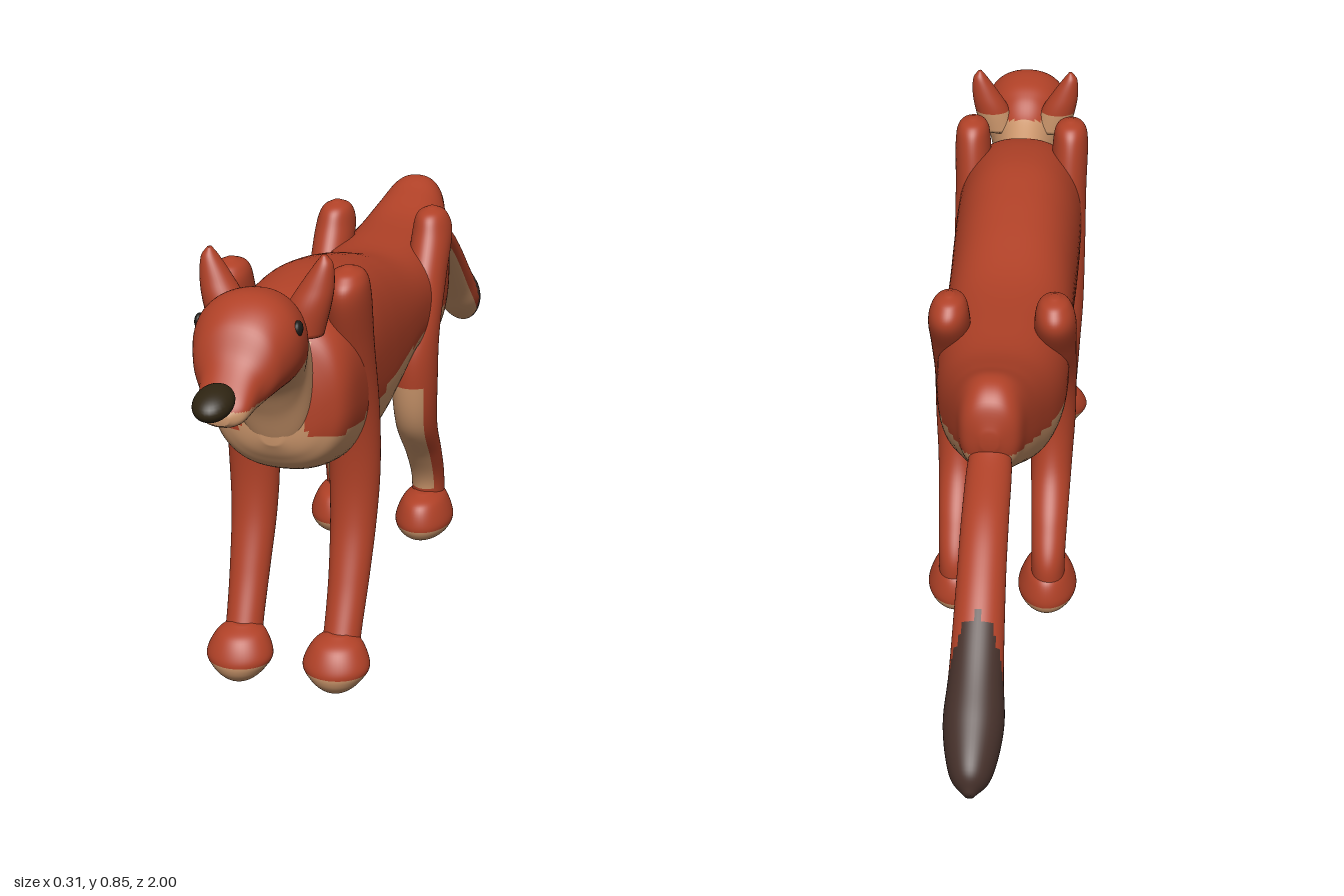
import * as THREE from 'three';

const mat = (name, color) => {
  const m = new THREE.MeshStandardMaterial({ color });
  m.name = name;
  return m;
};

// Loft of smooth elliptical rings. Section: [x, y, z, half width, half height along "up"].
// paint(point, cos, sin) picks the material index of each face.
function loft(name, sections, up, mats, paint = () => 0, { square = 1, around = 48, steps = 8 } = {}) {
  const centres = new THREE.CatmullRomCurve3(sections.map(s => new THREE.Vector3(s[0], s[1], s[2])), false, 'catmullrom', 0.5);
  const radii = new THREE.CatmullRomCurve3(sections.map(s => new THREE.Vector3(s[3], s[4], 0)), false, 'catmullrom', 0.5);
  const rows = (sections.length - 1) * steps;
  const pos = [];
  const soft = v => Math.sign(v) * Math.abs(v) ** square;
  const pointAt = (i, j) => {
    const c = centres.getPoint(i / rows), r = radii.getPoint(i / rows), a = j / around * Math.PI * 2;
    c.x += Math.max(r.x, 0.002) * soft(Math.cos(a));
    return c.addScaledVector(up, Math.max(r.y, 0.002) * soft(Math.sin(a)));
  };
  for (let i = 0; i <= rows; i++)
    for (let j = 0; j < around; j++) pos.push(...pointAt(i, j).toArray());
  const first = centres.getPoint(0), last = centres.getPoint(1);
  const along = last.clone().sub(first).dot(new THREE.Vector3(1, 0, 0).cross(up)) > 0;
  const buckets = mats.map(() => []);
  const tri = (k, a, b, c) => buckets[k].push(...(along ? [a, b, c] : [a, c, b]));
  for (let i = 0; i < rows; i++)
    for (let j = 0; j < around; j++) {
      const a = i * around + j, b = i * around + (j + 1) % around;
      const ang = (j + 0.5) / around * Math.PI * 2;
      const k = paint(pointAt(i + 0.5, j + 0.5), Math.cos(ang), Math.sin(ang));
      tri(k, a, b, b + around);
      tri(k, a, b + around, a + around);
    }
  // End caps
  [[0, first], [rows, last]].forEach(([row, p]) => {
    const centre = pos.length / 3, o = row * around;
    pos.push(...p.toArray());
    const k = paint(p, 0, 0);
    for (let j = 0; j < around; j++) {
      const n = (j + 1) % around;
      if (row) tri(k, centre, o + j, o + n);
      else tri(k, centre, o + n, o + j);
    }
  });
  const geo = new THREE.BufferGeometry();
  geo.setAttribute('position', new THREE.Float32BufferAttribute(pos, 3));
  geo.setIndex(buckets.flat());
  let start = 0;
  buckets.forEach((b, k) => { geo.addGroup(start, b.length, k); start += b.length; });
  geo.computeVertexNormals();
  const mesh = new THREE.Mesh(geo, mats);
  mesh.name = name;
  return mesh;
}

// Vertical slices given as [z, top, bottom, half width]
const slices = list => list.map(([z, t, b, w]) => [0, (t + b) / 2, z, w, (t - b) / 2]);

export function createModel() {
  const model = new THREE.Group();
  model.name = 'fox';
  const red = mat('red fur', 0xb04127), cream = mat('cream fur', 0xc9946a);
  const brown = mat('dark tail fur', 0x45302a), black = mat('nose black', 0x2e2412), eyeMat = mat('eye black', 0x1d1b18);
  const coat = [red, cream];
  const UP = new THREE.Vector3(0, 1, 0), FORWARD = new THREE.Vector3(0, 0, 1);

  // Body, cream underneath
  model.add(loft('body', slices([
    [0.657, 0.56, 0.505, 0.02], [0.64, 0.66, 0.475, 0.09], [0.61, 0.72, 0.445, 0.125],
    [0.53, 0.75, 0.415, 0.135], [0.41, 0.76, 0.39, 0.135], [0.3, 0.745, 0.382, 0.133], [0.19, 0.72, 0.4, 0.13],
    [0.03, 0.68, 0.437, 0.128], [-0.13, 0.675, 0.41, 0.128], [-0.25, 0.68, 0.432, 0.113],
    [-0.35, 0.705, 0.483, 0.088], [-0.42, 0.725, 0.522, 0.066], [-0.468, 0.7, 0.56, 0.05], [-0.487, 0.645, 0.61, 0.015],
  ]), UP, coat, p => {
    const edge = p.z > -0.15 ? 0.52 : 0.515 + (-0.15 - p.z) * 0.24;
    return p.y < edge || (p.z > 0.6 && Math.abs(p.x) < 0.06) ? 1 : 0;
  }, { square: 0.85, around: 72 }));

  // Head and neck, cream jaw, cheeks and throat
  model.add(loft('head', slices([
    [0.932, 0.662, 0.642, 0.015], [0.915, 0.685, 0.635, 0.04], [0.87, 0.732, 0.637, 0.053],
    [0.835, 0.785, 0.643, 0.075], [0.78, 0.815, 0.643, 0.091], [0.72, 0.81, 0.628, 0.086],
    [0.68, 0.79, 0.572, 0.072], [0.64, 0.755, 0.49, 0.07], [0.58, 0.72, 0.46, 0.07],
  ]), UP, coat, p => {
    const edge = p.z > 0.76 ? 0.665 : 0.665 + (0.76 - p.z) * 0.75;
    return p.y < edge ? 1 : 0;
  }, { square: 0.92, around: 64 }));

  const nose = new THREE.Mesh(new THREE.SphereGeometry(1, 28, 18), black);
  nose.name = 'nose';
  nose.scale.set(0.033, 0.023, 0.045);
  nose.position.set(0, 0.69, 0.955);
  nose.rotation.x = 0.25;
  model.add(nose);

  // Tail, cream below with a dark tip
  model.add(loft('tail', [
    [0, 0.6, -0.43, 0.03, 0.03], [0, 0.575, -0.48, 0.04, 0.032], [0, 0.537, -0.6, 0.042, 0.035],
    [0, 0.475, -0.7, 0.043, 0.037], [0, 0.375, -0.82, 0.047, 0.042], [0, 0.315, -0.89, 0.052, 0.05],
    [0, 0.268, -0.96, 0.036, 0.042], [0, 0.25, -0.99, 0.008, 0.012],
  ], new THREE.Vector3(0, 0.83, -0.55), [red, cream, brown],
  (p, c, s) => p.z * 0.8 - p.y * 0.55 < -0.875 ? 2 : s < -0.5 ? 1 : 0));

  for (const [side, s] of [['left', 1], ['right', -1]]) {
    const mirror = list => list.map(([x, ...rest]) => [x * s, ...rest]);

    // Ear
    model.add(loft(side + 'Ear', mirror([
      [0.06, 0.72, 0.675, 0.04, 0.035], [0.075, 0.77, 0.673, 0.037, 0.033], [0.088, 0.805, 0.67, 0.029, 0.026],
      [0.099, 0.84, 0.668, 0.016, 0.016], [0.1, 0.857, 0.668, 0.004, 0.005],
    ]), FORWARD, coat, (p, c, n) => p.y < 0.765 && n < 0 ? 1 : 0, { around: 32 }));

    // Eye
    const eye = new THREE.Mesh(new THREE.SphereGeometry(0.014, 20, 14), eyeMat);
    eye.name = side + 'Eye';
    eye.scale.x = 0.6;
    eye.position.set(0.084 * s, 0.76, 0.772);
    model.add(eye);

    // Front leg with shoulder, cream behind
    model.add(loft(side + 'FrontLeg', mirror([
      [0.106, 0.802, 0.54, 0.008, 0.01], [0.106, 0.788, 0.54, 0.03, 0.042], [0.106, 0.75, 0.538, 0.038, 0.06],
      [0.103, 0.65, 0.51, 0.04, 0.055], [0.1, 0.52, 0.473, 0.044, 0.045], [0.096, 0.4, 0.46, 0.047, 0.04],
      [0.095, 0.3, 0.468, 0.043, 0.038], [0.095, 0.2, 0.5, 0.038, 0.036], [0.094, 0.12, 0.535, 0.035, 0.035],
      [0.093, 0.07, 0.56, 0.035, 0.035],
    ]), FORWARD, coat, (p, c, n) => p.y < 0.45 && n < -0.15 && c * s < 0.55 ? 1 : 0));

    model.add(loft(side + 'FrontPaw', mirror([
      [0.092, 0.112, 0.56, 0.02, 0.02], [0.092, 0.095, 0.57, 0.046, 0.044], [0.092, 0.06, 0.58, 0.062, 0.054],
      [0.092, 0.035, 0.582, 0.05, 0.05], [0.092, 0.015, 0.583, 0.03, 0.032], [0.092, 0.003, 0.583, 0.006, 0.008],
    ]), FORWARD, coat, p => p.y < 0.05 ? 1 : 0));

    // Hind leg with hip, cream on the inner front
    model.add(loft(side + 'HindLeg', mirror([
      [0.1, 0.735, -0.135, 0.008, 0.01], [0.1, 0.72, -0.135, 0.03, 0.042], [0.102, 0.68, -0.13, 0.04, 0.06],
      [0.102, 0.6, -0.08, 0.04, 0.06], [0.1, 0.5, -0.022, 0.042, 0.058], [0.096, 0.4, -0.012, 0.046, 0.054],
      [0.095, 0.3, -0.035, 0.042, 0.052], [0.095, 0.21, -0.105, 0.037, 0.045], [0.095, 0.14, -0.147, 0.034, 0.044],
      [0.095, 0.07, -0.15, 0.034, 0.044],
    ]), FORWARD, coat, (p, c, n) => p.y < 0.4 && p.y > 0.12 && n > 0.1 && c * s < 0.65 ? 1 : 0));

    model.add(loft(side + 'HindPaw', mirror([
      [0.093, 0.117, -0.135, 0.02, 0.04], [0.093, 0.1, -0.127, 0.044, 0.072], [0.093, 0.06, -0.125, 0.06, 0.085],
      [0.093, 0.035, -0.125, 0.052, 0.078], [0.093, 0.02, -0.125, 0.032, 0.055], [0.093, 0.015, -0.125, 0.006, 0.01],
    ]), FORWARD, coat, p => p.y < 0.05 ? 1 : 0));
  }
  return model;
}
